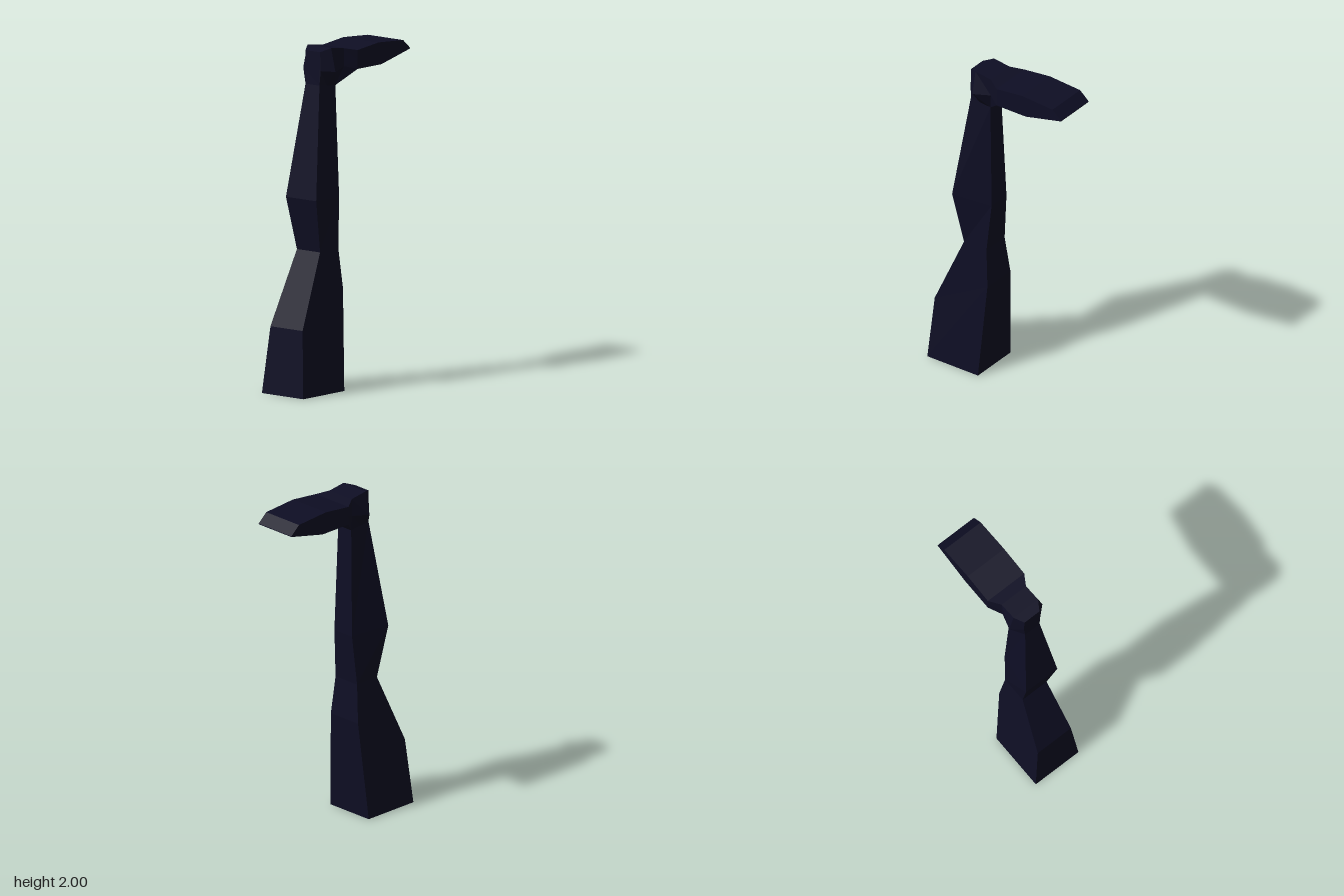
import * as THREE from 'three';

const navy = new THREE.MeshStandardMaterial({ color: 0x0e0e24 });
navy.name = 'darkNavy';

// Joins equal-sized loops of [x, y, z] points into a faceted skin, capping chosen ends.
function loft(name, loops, capStart, capEnd) {
  const pos = [];
  const tri = (a, b, c) => pos.push(...a, ...b, ...c);
  const n = loops[0].length;
  for (let k = 0; k < loops.length - 1; k++) {
    for (let i = 0; i < n; i++) {
      const j = (i + 1) % n;
      const a = loops[k][i], b = loops[k][j], c = loops[k + 1][j], d = loops[k + 1][i];
      tri(a, b, c);
      tri(a, c, d);
    }
  }
  const first = loops[0], last = loops[loops.length - 1];
  for (let i = 1; i < n - 1; i++) {
    if (capStart) tri(first[0], first[i + 1], first[i]);
    if (capEnd) tri(last[0], last[i], last[i + 1]);
  }
  const geo = new THREE.BufferGeometry();
  geo.setAttribute('position', new THREE.Float32BufferAttribute(pos, 3));
  geo.computeVertexNormals();
  const mesh = new THREE.Mesh(geo, navy);
  mesh.name = name;
  return mesh;
}

// Four-sided leg section: back edge and front edge each have x, y and half width.
const legLoop = ([xb, yb, hb, xf, yf, hf, cz]) => [
  [xb, yb, cz + hb], [xf, yf, cz + hf], [xf, yf, cz - hf], [xb, yb, cz - hb],
];

// Six-sided foot section: underside, widest line and upper side.
const footLoop = ([xLow, x, yLow, hLow, yMid, hMid, yTop, hTop]) => {
  const cz = -0.006;
  return [
    [xLow, yLow, cz + hLow], [xLow, yLow, cz - hLow], [x, yMid, cz - hMid],
    [x, yTop, cz - hTop], [x, yTop, cz + hTop], [x, yMid, cz + hMid],
  ];
};

export function createModel() {
  const group = new THREE.Group();
  group.name = 'bentLeg';

  // Thigh, knee and calf
  const leg = loft('leg', [
    [-0.47, 0, 0.157, -0.11, 0, 0.157, -0.021],
    [-0.44, 0.39, 0.122, -0.073, 0.59, 0.111, -0.017],
    [-0.253, 0.82, 0.088, -0.093, 0.82, 0.088, -0.012],
    [-0.318, 1.13, 0.115, -0.068, 1.12, 0.072, -0.012],
    [-0.225, 1.785, 0.053, -0.086, 1.77, 0.053, -0.006],
  ].map(legLoop), true, false);

  // Heel, ankle, instep and toe
  const foot = loft('foot', [
    [-0.225, -0.222, 1.785, 0.053, 1.87, 0.06, 1.98, 0.055],
    [-0.16, -0.165, 1.778, 0.053, 1.865, 0.122, 2.0, 0.09],
    [-0.086, -0.055, 1.77, 0.053, 1.88, 0.092, 1.985, 0.09],
    [0.016, 0.016, 1.86, 0.134, 1.915, 0.134, 1.97, 0.134],
    [0.225, 0.2, 1.86, 0.134, 1.925, 0.134, 1.99, 0.134],
    [0.42, 0.415, 1.905, 0.134, 1.93, 0.134, 1.975, 0.134],
    [0.476, 0.476, 1.918, 0.134, 1.92, 0.134, 1.922, 0.134],
  ].map(footLoop), true, true);

  // The whole limb is turned slightly
  const limb = new THREE.Group();
  limb.name = 'limb';
  limb.rotation.y = 0.152;
  limb.add(leg, foot);
  group.add(limb);
  return group;
}
